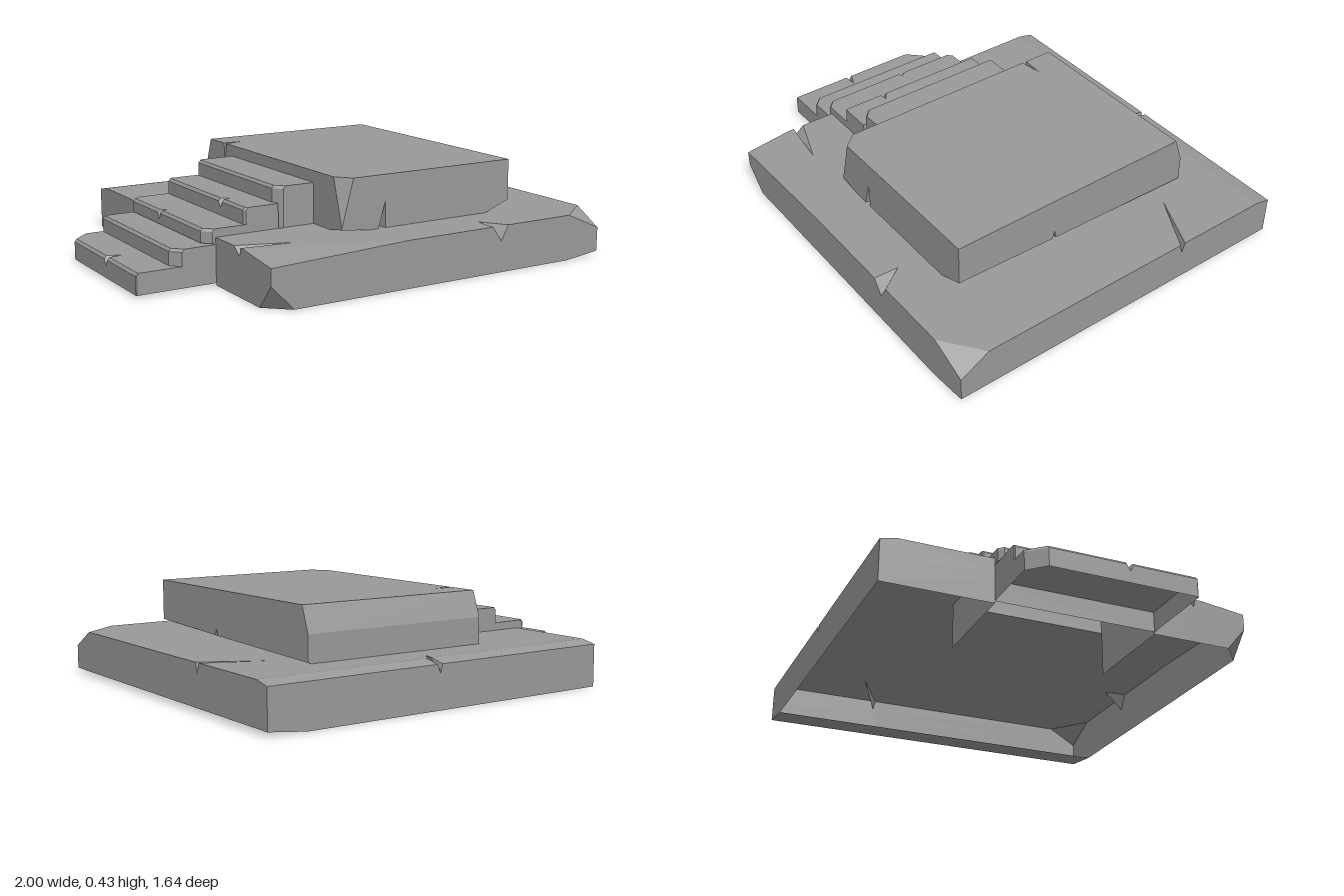
import * as THREE from 'three';

const material = new THREE.MeshStandardMaterial({ color: 0x999999, flatShading: true, side: THREE.DoubleSide });

// Open-bottomed stone shell: each column runs from the top edge down to the ground;
// columns go round clockwise seen from above. The wall after column `skip` is left open.
function shell(name, columns, skip = -1) {
  const pos = [];
  const tri = (a, b, c) => {
    const n = b.clone().sub(a).cross(c.clone().sub(a));
    if (n.length() > 1e-7) for (const p of [a, b, c]) pos.push(p.x, p.y, p.z);
  };
  const cols = columns.map(col => col.map(p => new THREE.Vector3(...p)));
  cols.forEach((colA, i) => {
    if (i === skip) return;
    const colB = cols[(i + 1) % cols.length];
    for (let r = 0; r < colA.length - 1; r++) {
      const a = colA[r], b = colB[r], c = colB[r + 1], d = colA[r + 1];
      if (a.distanceTo(c) <= b.distanceTo(d)) { tri(a, b, c); tri(a, c, d); }
      else { tri(a, b, d); tri(b, c, d); }
    }
  });
  // flat top, always facing up
  const ring = cols.map(col => col[0]);
  const outline = ring.map(p => new THREE.Vector2(p.x, p.z));
  for (const [i, j, k] of THREE.ShapeUtils.triangulateShape(outline, [])) {
    const [a, b, c] = [ring[i], ring[j], ring[k]];
    const up = b.clone().sub(a).cross(c.clone().sub(a)).y > 0;
    if (up) tri(a, b, c); else tri(a, c, b);
  }
  const geometry = new THREE.BufferGeometry();
  geometry.setAttribute('position', new THREE.Float32BufferAttribute(pos, 3));
  geometry.computeVertexNormals();
  const mesh = new THREE.Mesh(geometry, material);
  mesh.name = name;
  return mesh;
}

function createBase() {
  const T = 0.2;
  const col = (x, z, low = 0) => [[x, T, z], [x, 0.14, z], [x, 0.1, z], [x, low, z]];
  // crack: pointed notch in the top that narrows to a tip on the wall
  const crack = (ax, az, tx, ty, tz, low = 0) =>
    [[ax, T, az], [tx, ty, tz], [tx, 0.1, tz], [tx, low, tz]];
  const back = x => [[x, T, -0.75], [x, 0.185, -0.82], [x, 0.1, -0.82], [x, x === 1 ? 0.02 : 0, -0.82]];
  return shell('baseSlab', [
    // chipped front corner
    [[0.83, T, 0.82], [1, 0.125, 0.82], [1, 0.1, 0.82], [0.83, 0, 0.82]],
    // front wall with crack
    col(0.49, 0.82), crack(0.415, 0.71, 0.455, 0.135, 0.82), col(0.41, 0.82),
    // worn front corner, broken off at the foot
    [[-0.02, T, 0.82], [-0.65, 0.175, 0.82], [-0.65, 0.105, 0.82], [-0.55, 0, 0.82]],
    [[-0.65, T, 0.61], [-0.65, 0.175, 0.82], [-0.65, 0.105, 0.82], [-0.65, 0, 0.73]],
    // stair side with crack and stair recess
    col(-0.65, 0.58), crack(-0.42, 0.61, -0.65, 0.165, 0.575), col(-0.65, 0.53),
    col(-0.65, 0.375), col(-0.19, 0.375), col(-0.19, -0.34), col(-0.65, -0.34),
    // back wall with bevel and crack
    back(-0.65), back(0.195), crack(0.18, -0.7, 0.205, 0.15, -0.82), back(0.22), back(0.83), back(1),
    // far side with crack
    col(1, -0.325, 0.02), crack(0.75, -0.435, 1, 0.155, -0.31, 0.02), col(1, -0.3, 0.02),
    [[1, T, 0.69], [1, 0.125, 0.82], [1, 0.1, 0.82], [1, 0.02, 0.82]],
  ], 10);
}

// sloping strip under the far edge of the base
function createLip() {
  const geometry = new THREE.PlaneGeometry(0.17, 1.64).rotateX(Math.PI / 2).translate(0.915, 0, 0);
  const p = geometry.attributes.position;
  for (let i = 0; i < p.count; i++) p.setY(i, p.getX(i) > 0.9 ? 0.02 : 0);
  geometry.computeVertexNormals();
  const mesh = new THREE.Mesh(geometry, material);
  mesh.name = 'baseLowerBevel';
  return mesh;
}

function createBlock() {
  const T = 0.425, B = 0.2, F = 0.593, R = 0.675;
  const col = (x, z) => [[x, T, z], [x, 0.35, z], [x, 0.31, z], [x, B, z]];
  // far wall: its foot is undercut, more so towards the front
  const far = (z, edgeY, footX) => [[R, T, z], [R, 0.35, z], [R, edgeY, z], [footX, B, z]];
  return shell('upperBlock', [
    far(F, 0.245, 0.555),
    // front wall with crack at the foot
    col(0.026, F),
    [[0.022, T, F], [0.022, 0.35, F], [0.022, 0.31, F], [0.015, B, 0.54]],
    col(-0.01, F),
    // chipped corner
    [[-0.135, T, F], [-0.19, 0.22, F], [-0.19, 0.215, F], [-0.06, B, F]],
    [[-0.19, T, 0.53], [-0.19, 0.22, F], [-0.19, 0.215, F], [-0.19, B, 0.5]],
    // stair side with crack
    col(-0.19, -0.4),
    [[-0.09, T, -0.415], [-0.19, 0.33, -0.41], [-0.19, 0.31, -0.41], [-0.19, B, -0.41]],
    col(-0.19, -0.42),
    // bevelled back
    [[-0.19, T, -0.555], [-0.19, 0.315, -0.595], [-0.19, 0.25, -0.595], [-0.19, B, -0.595]],
    [[R, T, -0.555], [R, 0.315, -0.595], [R, 0.205, -0.595], [0.66, B, -0.595]],
    // crack in the far undercut
    far(0.1, 0.226, 0.6), far(0.108, 0.262, 0.56), far(0.118, 0.227, 0.598),
  ]);
}

// one step with clipped outer corners, a softened nosing and an optional nick
function createStep(name, x0, x1, y0, y1, frontCut, backCut, nickZ, nickDepth) {
  const zf = 0.375, zb = -0.34;
  const col = (x, z, inset) => [[x + inset, y1, z], [x, y1 - 0.012, z], [x, y0, z]];
  const nick = nickDepth ? [
    col(x0, nickZ + 0.015, 0.01),
    [[x0 + nickDepth, y1, nickZ + 0.01], [x0, y1 - 0.04, nickZ], [x0, y0, nickZ]],
    col(x0, nickZ - 0.015, 0.01),
  ] : [];
  return shell(name, [
    col(x1, zf, 0), col(x0 + frontCut, zf, 0.01), col(x0, zf - frontCut, 0.01), ...nick,
    col(x0, zb + backCut, 0.01), col(x0 + backCut, zb, 0.01), col(x1, zb, 0),
  ]);
}

export function createModel() {
  const model = new THREE.Group();
  model.name = 'steppedPlatform';
  model.add(createBase(), createLip(), createBlock());

  const stairs = new THREE.Group();
  stairs.name = 'stairs';
  // x start, x end, bottom, top, front corner cut, back corner cut, nick z, nick depth
  const steps = [
    [-1, -0.65, 0.01, 0.1, 0.004, 0.07, 0.075, 0.07],
    [-0.84, -0.65, 0.1, 0.17, 0.04, 0.004, 0, 0],
    [-0.7, -0.51, 0.175, 0.235, 0.035, 0.02, -0.05, 0.03],
    [-0.52, -0.36, 0.2, 0.305, 0.01, 0.006, 0.17, 0.045],
    [-0.37, -0.19, 0.2, 0.375, 0.035, 0.01, 0, 0],
  ];
  steps.forEach((s, i) => stairs.add(createStep('step' + (i + 1), ...s)));
  model.add(stairs);
  return model;
}
